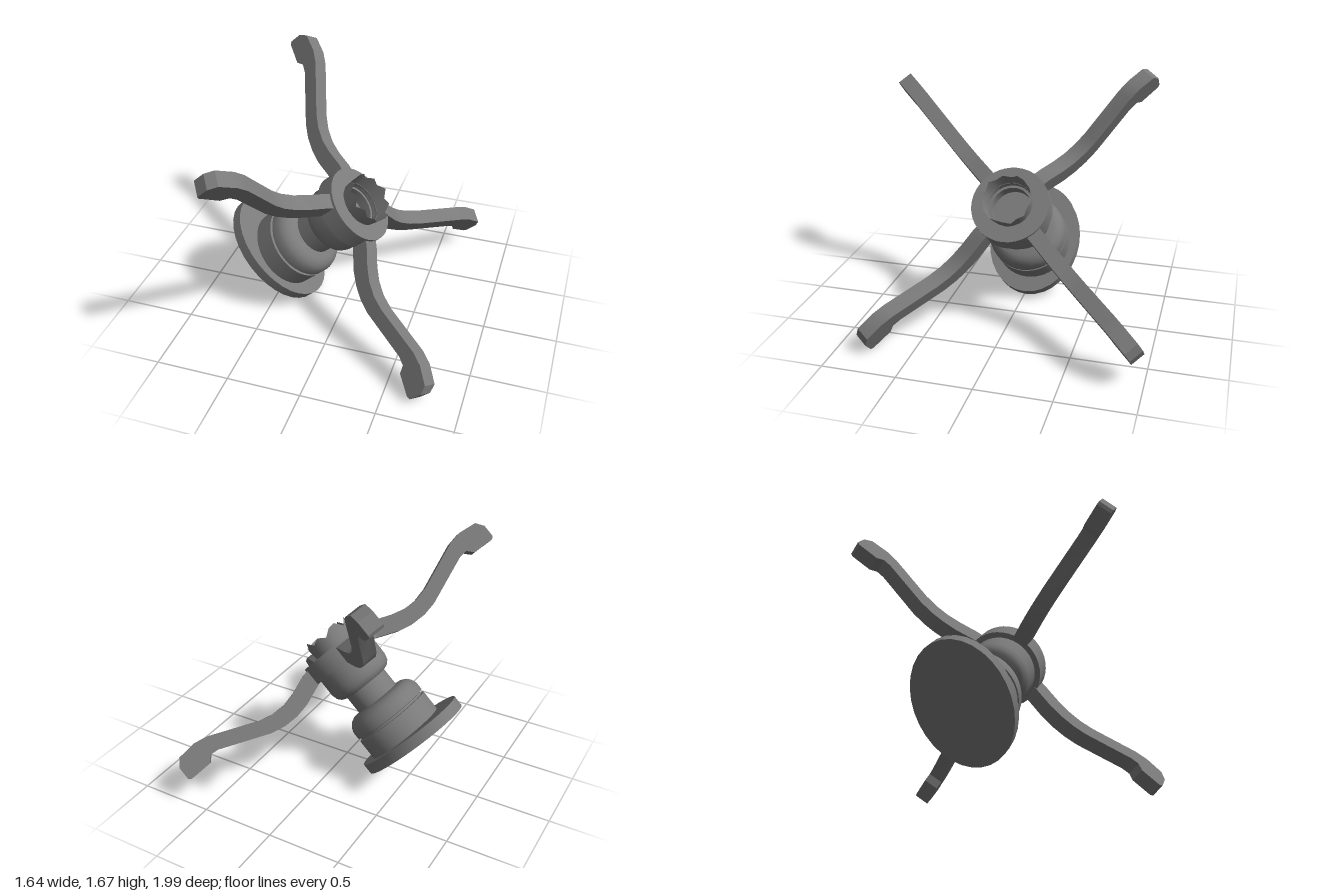
import * as THREE from 'three';
import { toCreasedNormals } from 'three/addons/utils/BufferGeometryUtils.js';

export function createModel() {
  const model = new THREE.Group();
  model.name = 'valveWithHandwheel';
  const solid = new THREE.MeshStandardMaterial({ color: 0x7a7a7a });
  const thin = new THREE.MeshStandardMaterial({ color: 0x7a7a7a, side: THREE.DoubleSide });

  // All parts are built upright around the stem axis (local y), then tilted together
  const body = new THREE.Group();
  body.name = 'tiltedAssembly';
  const axis = new THREE.Vector3(0.736, 0.677, 0.035).normalize();
  const across = new THREE.Vector3(0.677, -0.736, 0).normalize();
  across.addScaledVector(axis, -across.dot(axis)).normalize();
  const side = new THREE.Vector3().crossVectors(across, axis);
  body.quaternion.setFromRotationMatrix(new THREE.Matrix4().makeBasis(across, axis, side));
  body.position.set(-0.513, 0.291, -0.02);
  model.add(body);

  const add = (name, geometry, material = solid, crease = 0.6) => {
    const mesh = new THREE.Mesh(toCreasedNormals(geometry, crease), material);
    mesh.name = name;
    body.add(mesh);
    return mesh;
  };
  const lathe = (pts) => new THREE.LatheGeometry(pts.map(([r, y]) => new THREE.Vector2(r, y)), 40);

  // Oval base flange, slightly off the stem axis
  const flange = new THREE.CylinderGeometry(1, 1, 0.075, 32);
  flange.scale(0.418, 1, 0.33);
  flange.translate(-0.035, 0.0375, 0);
  add('baseFlange', flange);

  // Turned stem: base drum, groove, rounded shoulder, neck and upper collar
  add('stem', lathe([
    [0.272, 0.06], [0.272, 0.218], [0.255, 0.22], [0.255, 0.236], [0.272, 0.24],
    [0.272, 0.295], [0.258, 0.33], [0.235, 0.355], [0.205, 0.37], [0.158, 0.375],
    [0.158, 0.5], [0.195, 0.515], [0.217, 0.54], [0.228, 0.58], [0.228, 0.71],
  ]));

  // Hub ring with an inner ledge and a bore floor
  add('hubRing', lathe([
    [0.265, 0.7], [0.265, 0.83], [0.152, 0.83], [0.152, 0.79], [0.135, 0.79],
    [0.135, 0.7], [0.265, 0.7],
  ]));
  const floor = new THREE.CircleGeometry(0.14, 32);
  floor.rotateX(-Math.PI / 2).translate(0, 0.715, 0);
  add('boreFloor', floor, thin);

  // Jagged crown flaring slightly out of the hub
  const teeth = [0.95, 0.915, 0.935, 0.9, 0.945, 0.94, 0.9, 0.94, 0.91, 0.955,
    0.915, 0.94, 0.905, 0.945, 0.95, 0.9, 0.935, 0.91, 0.95, 0.905];
  const crown = new THREE.CylinderGeometry(0.166, 0.152, 0.14, teeth.length, 1, true);
  crown.translate(0, 0.87, 0);
  const p = crown.attributes.position;
  for (let i = 0; i <= teeth.length; i++) p.setY(i, teeth[i % teeth.length]);
  add('jaggedCrown', crown, thin);

  // Four bent arms, each ending in a hooked foot
  const profile = [
    [0.2, 0.715], [0.28, 0.685], [0.4, 0.638], [0.5, 0.618], [0.6, 0.617], [0.7, 0.637],
    [1.04, 0.772], [1.1, 0.778], [1.14, 0.735], [1.29, 0.73],
    [1.31, 0.745], [1.31, 0.835], [1.27, 0.89], [1.14, 0.905], [1.05, 0.888],
    [0.72, 0.755], [0.62, 0.732], [0.52, 0.733], [0.42, 0.758], [0.3, 0.805], [0.2, 0.825],
  ];
  const shape = new THREE.Shape(profile.map(([r, y]) => new THREE.Vector2(r, y)));
  const armGeometry = new THREE.ExtrudeGeometry(shape, { depth: 0.104, bevelEnabled: false });
  armGeometry.translate(0, 0, -0.052);
  [-38.8, 47, 141.5, 227].forEach((angle, i) => {
    const arm = add('arm' + (i + 1), armGeometry);
    arm.rotation.y = Math.PI + THREE.MathUtils.degToRad(angle);
  });

  return model;
}
